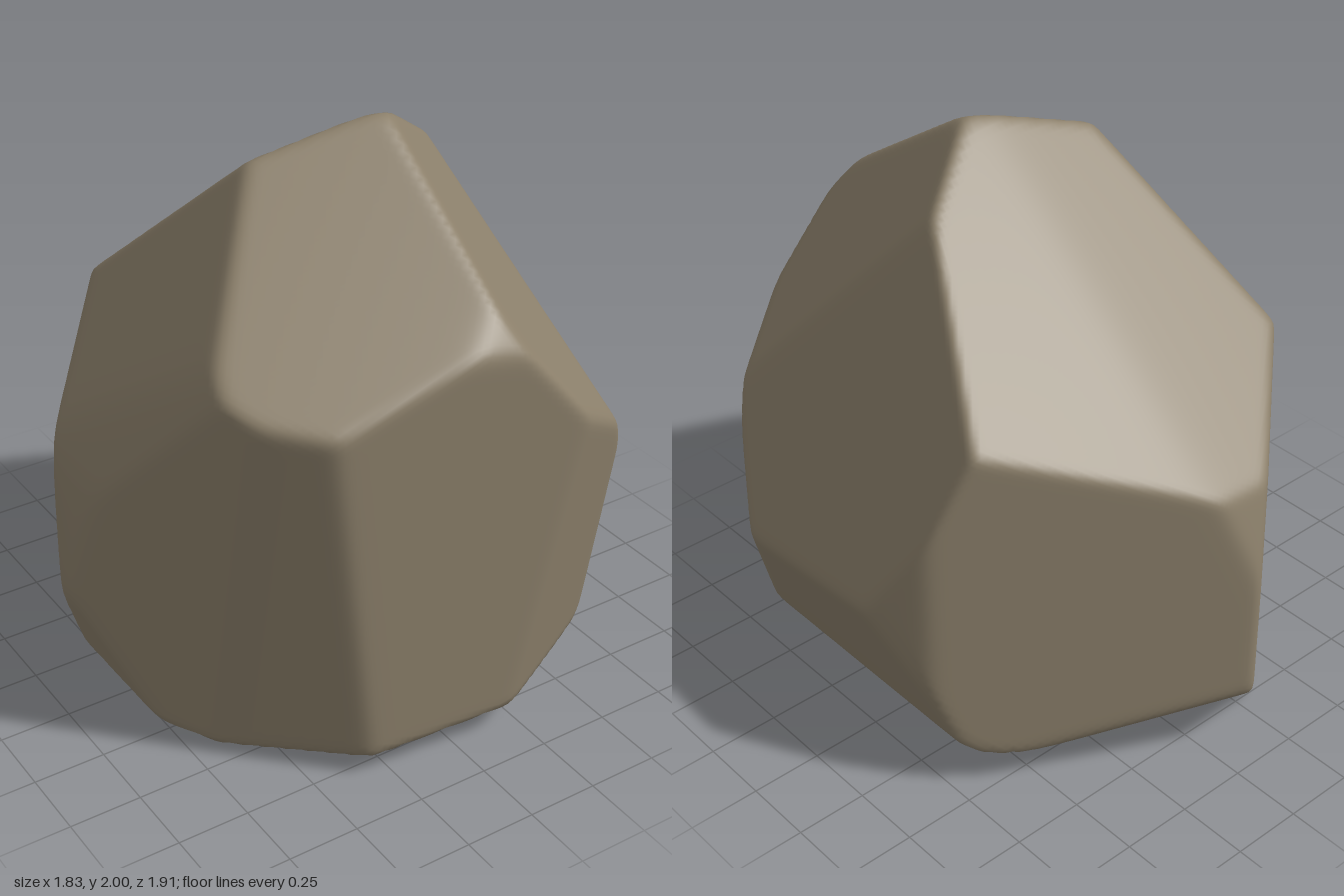
import * as THREE from 'three';
import { mergeVertices } from 'three/addons/utils/BufferGeometryUtils.js';

// Cut planes of the boulder: normal x, y, z and distance from the origin
const FACES = [
  [-0.04, 0.75, -0.66, 1.368], // back slope
  [0.12, 0.74, -0.65, 1.36], // back slope, +x half
  [0.913, 0.397, 0.115, 1.088], // upper +x slope
  [0.68, 0.6, 0.42, 1.372], // shoulder between front top and +x slope
  [-0.12, -0.05, 0.99, 0.85], // front
  [-0.37, 0.79, 0.49, 1.65], // front top
  [-0.71, -0.12, 0.7, 0.797], // -x front corner
  [-0.92, -0.06, 0.39, 0.803], // -x side
  [-0.83, 0.55, -0.18, 1.28], // upper -x slope
  [-0.68, 0, -0.74, 0.775], // -x back
  [0.53, 0, -0.85, 0.768], // +x back
  [0.94, -0.33, 0, 0.635], // lower +x side
  [0.45, -0.14, 0.88, 0.855], // +x front
  [0.77, -0.12, 0.63, 0.915], // +x front corner
  [0.06, -1, 0.04, -0.04], // underside
  [0.18, -0.98, 0, 0.005], // underside, +x half
];
const WORN_CORNERS = [
  [0.25, -0.7, -0.67, 0.435],
  [-0.93, -0.37, 0, 0.718],
  [0.62, -0.78, 0, 0.32],
  [0, 0.6, 0.8, 1.638],
  [0.1, 0.99, 0.1, 2.003],
  [0.59, 0.81, 0, 1.73],
  [0, 0.23, -0.97, 1.097],
  [-0.995, 0.1, 0, 0.972],
  [-0.95, 0.32, 0, 1.123],
  [0.88, 0, -0.47, 0.9],
  [-0.97, 0, -0.2, 0.915],
];
const CENTRE = new THREE.Vector3(0, 0.9, 0);
const SHARPNESS = 100;

export function createModel() {
  const stone = new THREE.MeshStandardMaterial({ name: 'stone', color: 0x8c806b });

  const planes = [...FACES, ...WORN_CORNERS].map(([x, y, z, d]) => {
    const n = new THREE.Vector3(x, y, z);
    return { n, h: d - n.dot(CENTRE) };
  });

  // Push a fine sphere out to the planes, blending softly where they meet
  let geo = new THREE.IcosahedronGeometry(1, 55);
  geo.deleteAttribute('uv');
  geo.deleteAttribute('normal');
  geo = mergeVertices(geo, 1e-5);
  const pos = geo.attributes.position;
  const dir = new THREE.Vector3();
  for (let i = 0; i < pos.count; i++) {
    dir.fromBufferAttribute(pos, i).normalize();
    let sum = 0;
    for (const { n, h } of planes) {
      const k = n.dot(dir) / h;
      if (k > 0) sum += k ** SHARPNESS;
    }
    dir.multiplyScalar(sum ** (-1 / SHARPNESS)).add(CENTRE);
    pos.setXYZ(i, dir.x, dir.y, dir.z);
  }

  // Stand it on the ground
  geo.computeBoundingBox();
  geo.translate(0, -geo.boundingBox.min.y, 0);
  geo.computeVertexNormals();

  const boulder = new THREE.Mesh(geo, stone);
  boulder.name = 'boulder';
  const group = new THREE.Group();
  group.name = 'rock';
  group.add(boulder);
  return group;
}
